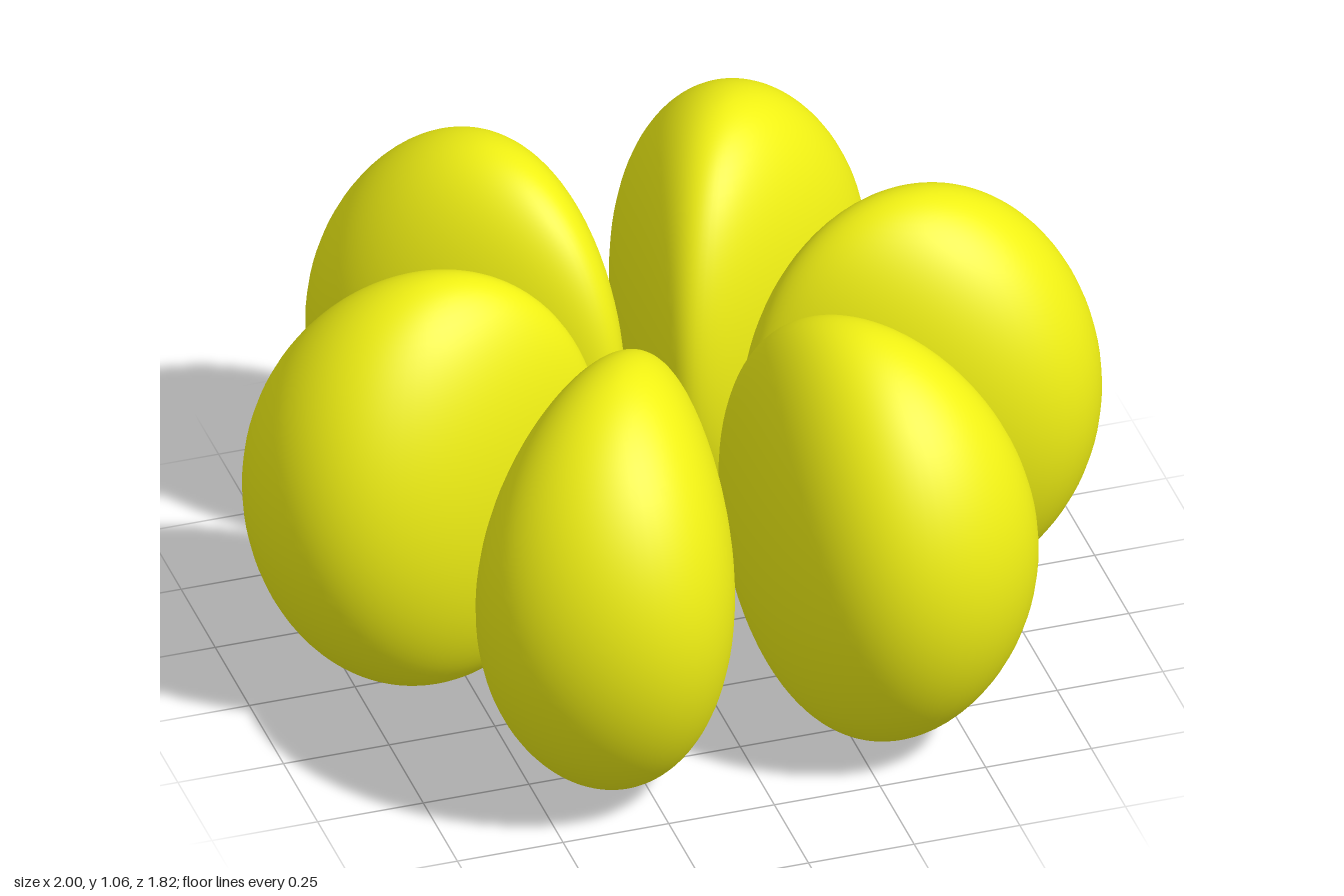
import * as THREE from 'three';
import { mergeVertices } from 'three/addons/utils/BufferGeometryUtils.js';

const COUNT = 6;
const INNER = 0.165, OUTER = 1.0;   // radial extent of a segment
const HALF_HEIGHT = 0.529;
const HALF_WIDTH = 0.269;
const TAPER = 0.43;                 // narrows the segment towards the centre

// One teardrop segment: a sphere stretched upright and tapered along its radius
function segmentGeometry() {
  let geo = new THREE.SphereGeometry(1, 64, 48);
  geo.deleteAttribute('uv');
  geo.deleteAttribute('normal');
  geo = mergeVertices(geo, 1e-5);
  const p = geo.attributes.position;
  const mid = (INNER + OUTER) / 2, half = (OUTER - INNER) / 2;
  for (let i = 0; i < p.count; i++) {
    const u = p.getX(i);
    p.setXYZ(
      i,
      mid + half * u,
      HALF_HEIGHT * (1 + p.getY(i) * (1 - 0.05 * u)),
      HALF_WIDTH * p.getZ(i) * (1 + TAPER * u)
    );
  }
  geo.computeVertexNormals();
  return geo;
}

export function createModel() {
  const model = new THREE.Group();
  model.name = 'segmentRing';
  const material = new THREE.MeshStandardMaterial({ color: 0xf0f014 });
  const geometry = segmentGeometry();

  // Ring of identical segments
  for (let i = 0; i < COUNT; i++) {
    const segment = new THREE.Mesh(geometry, material);
    segment.name = `segment${i + 1}`;
    segment.rotation.y = (i / COUNT) * Math.PI * 2;
    model.add(segment);
  }
  return model;
}
